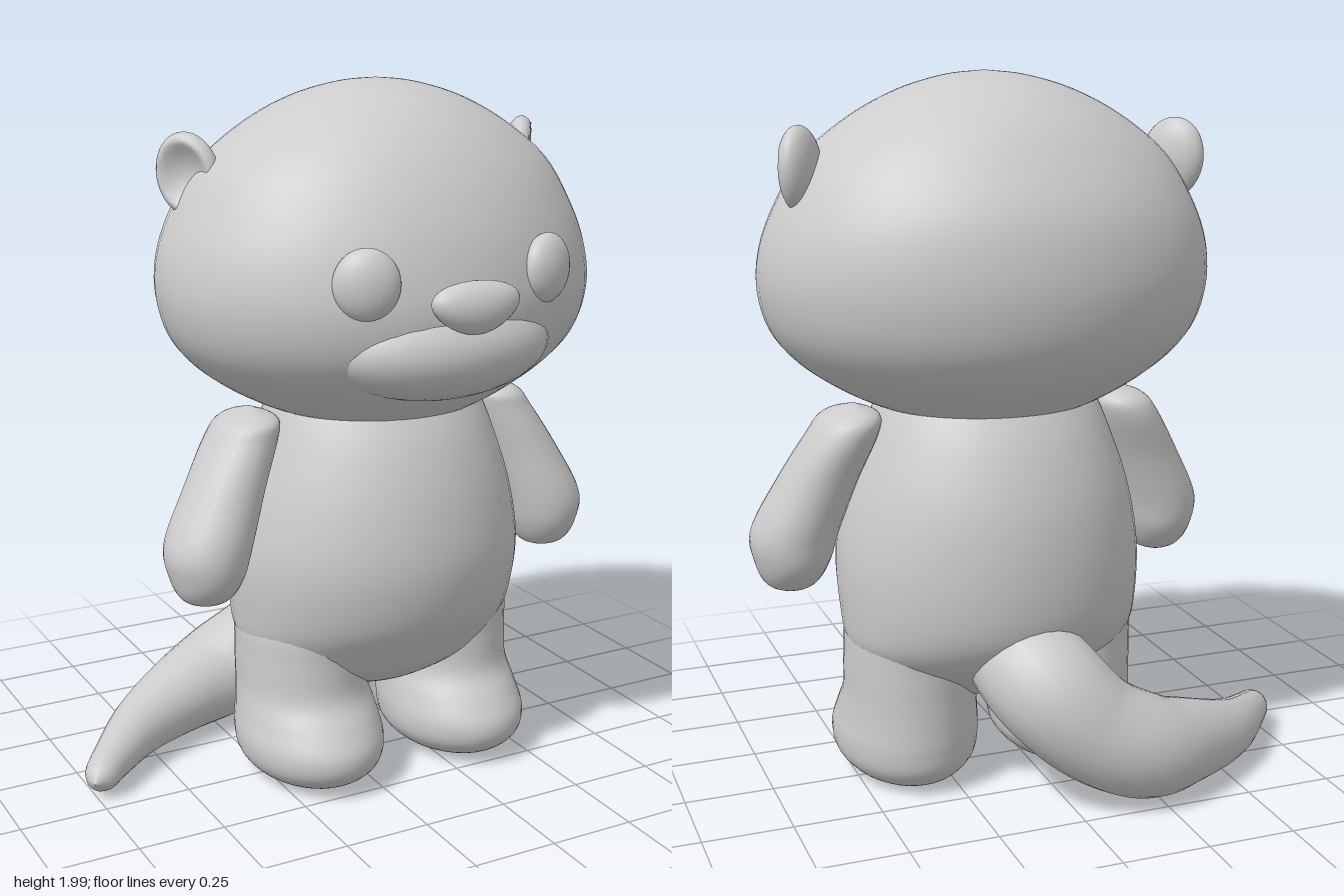
import * as THREE from 'three';
import { mergeVertices } from 'three/addons/utils/BufferGeometryUtils.js';

const clay = new THREE.MeshStandardMaterial({ color: 0xcccccc });
clay.name = 'clay grey';

// Weld seams and smooth the normals
function smooth(geo) {
  geo.deleteAttribute('uv');
  geo.deleteAttribute('normal');
  const welded = mergeVertices(geo, 1e-4);
  welded.computeVertexNormals();
  return welded;
}

// Stack of ellipses; each row is [y, centreX, radiusX, zFront, zBack], bottom to top
function loft(rows, side = 1, levels = 40, around = 40) {
  const a = new THREE.CatmullRomCurve3(rows.map(r => new THREE.Vector3(r[0], r[1] * side, r[2])), false, 'catmullrom', 0.5);
  const b = new THREE.CatmullRomCurve3(rows.map(r => new THREE.Vector3(r[3], r[4], 0)), false, 'catmullrom', 0.5);
  const pos = [], idx = [];
  for (let i = 0; i <= levels; i++) {
    const p = a.getPoint(i / levels), q = b.getPoint(i / levels);
    const rx = Math.max(p.z, 0.002), cz = (q.x + q.y) / 2, rz = Math.max((q.x - q.y) / 2, 0.002);
    for (let j = 0; j < around; j++) {
      const t = j / around * Math.PI * 2;
      pos.push(p.y + rx * Math.cos(t), p.x, cz + rz * Math.sin(t));
      if (i === levels) continue;
      const k = (j + 1) % around, o = i * around, n = o + around;
      idx.push(o + j, n + j, o + k, o + k, n + j, n + k);
    }
  }
  // End caps
  const top = levels * around;
  for (let j = 1; j < around - 1; j++) idx.push(0, j, j + 1, top, top + j + 1, top + j);
  const geo = new THREE.BufferGeometry();
  geo.setAttribute('position', new THREE.Float32BufferAttribute(pos, 3));
  geo.setIndex(idx);
  geo.computeVertexNormals();
  return geo;
}

function ellipsoid(rx, ry, rz) {
  return new THREE.SphereGeometry(1, 32, 20).scale(rx, ry, rz);
}

// Tapered tube: points are [x, y, z, radius], closed by a rounded tip
function taperedTube(points) {
  const curve = new THREE.CatmullRomCurve3(points.map(p => new THREE.Vector3(p[0], p[1], p[2])));
  const radii = new THREE.CatmullRomCurve3(points.map(p => new THREE.Vector3(p[3], 0, 0)), false, 'catmullrom', 0.5);
  const segs = 60, sides = 24;
  const geo = new THREE.TubeGeometry(curve, segs, 1, sides);
  const pos = geo.attributes.position, v = new THREE.Vector3();
  for (let i = 0; i <= segs; i++) {
    const u = i / segs, c = curve.getPointAt(u);
    const e = Math.max(0, (u - 0.95) / 0.05);
    const r = radii.getPoint(curve.getUtoTmapping(u)).x * Math.sqrt(Math.max(0.0004, 1 - e * e));
    for (let j = 0; j <= sides; j++) {
      const k = i * (sides + 1) + j;
      v.fromBufferAttribute(pos, k).sub(c).multiplyScalar(r).add(c);
      pos.setXYZ(k, v.x, v.y, v.z);
    }
  }
  return smooth(geo);
}

// Disc-like ear with a hollow pressed into its +z face
function earGeometry() {
  const geo = ellipsoid(0.095, 0.115, 0.05);
  const pos = geo.attributes.position;
  for (let i = 0; i < pos.count; i++) {
    const d = Math.hypot(pos.getX(i) / 0.095, pos.getY(i) / 0.115);
    if (pos.getZ(i) > 0) pos.setZ(i, pos.getZ(i) - 0.06 * Math.max(0, 1 - d * d * 1.6));
  }
  return smooth(geo);
}

export function createModel() {
  const model = new THREE.Group();
  const figure = new THREE.Group();
  figure.name = 'figure';
  figure.position.x = 0.11;
  model.add(figure);

  const add = (name, geo, x = 0, y = 0, z = 0) => {
    const mesh = new THREE.Mesh(geo, clay);
    mesh.name = name;
    mesh.position.set(x, y, z);
    figure.add(mesh);
    return mesh;
  };

  // Wide, slightly flattened head
  add('head', loft([
    [1.06, 0, 0.002, 0, 0], [1.08, 0, 0.2, 0.2, -0.22], [1.11, 0, 0.33, 0.28, -0.31],
    [1.2, 0, 0.49, 0.39, -0.42], [1.3, 0, 0.59, 0.47, -0.495], [1.42, 0, 0.63, 0.5, -0.528],
    [1.54, 0, 0.622, 0.487, -0.528], [1.66, 0, 0.575, 0.45, -0.5], [1.78, 0, 0.5, 0.385, -0.43],
    [1.88, 0, 0.375, 0.3, -0.345], [1.95, 0, 0.24, 0.2, -0.24], [1.988, 0, 0.11, 0.09, -0.12],
    [2, 0, 0.002, -0.01, -0.015],
  ], 1, 60, 56));
  add('muzzle', ellipsoid(0.33, 0.15, 0.2), 0, 1.325, 0.335);

  // Nose, wider along its top edge
  const nose = ellipsoid(0.125, 0.07, 0.055);
  const np = nose.attributes.position;
  for (let i = 0; i < np.count; i++) np.setX(i, np.getX(i) * (1 + np.getY(i) * 4));
  add('nose', smooth(nose), 0, 1.452, 0.52);

  // Belly and back
  add('body', loft([
    [0.24, 0, 0.002, 0.0, -0.02], [0.27, 0, 0.17, 0.11, -0.16], [0.34, 0, 0.33, 0.21, -0.25],
    [0.42, 0, 0.41, 0.27, -0.34], [0.52, 0, 0.43, 0.335, -0.395], [0.68, 0, 0.435, 0.37, -0.41],
    [0.85, 0, 0.405, 0.355, -0.395], [1.0, 0, 0.355, 0.315, -0.35], [1.1, 0, 0.315, 0.27, -0.3],
    [1.14, 0, 0.29, 0.24, -0.27],
  ], 1, 50, 48));

  for (const side of [-1, 1]) {
    const label = side > 0 ? 'left' : 'right';

    add(label + 'Eye', ellipsoid(0.088, 0.094, 0.05), side * 0.272, 1.52, 0.435).rotation.y = side * 0.4;

    const ear = add(label + 'Ear', earGeometry(), side * 0.53, 1.755, -0.085);
    ear.rotation.set(0, side * 0.95, -side * 0.25, 'YXZ');

    // Arm hanging outward, thicker at the paw
    add(label + 'Arm', loft([
      [0.582, 0.555, 0.01, 0.05, 0.02], [0.605, 0.558, 0.07, 0.11, -0.03], [0.67, 0.555, 0.105, 0.155, -0.08],
      [0.76, 0.545, 0.123, 0.165, -0.098], [0.9, 0.485, 0.112, 0.135, -0.115], [1.03, 0.42, 0.098, 0.105, -0.142],
      [1.085, 0.395, 0.078, 0.085, -0.125], [1.112, 0.385, 0.01, 0, -0.05],
    ], side, 36, 28));

    // Leg and rounded foot
    add(label + 'Leg', loft([
      [0.008, 0.24, 0.06, 0.12, -0.07], [0.025, 0.24, 0.14, 0.215, -0.165], [0.075, 0.24, 0.193, 0.285, -0.22],
      [0.14, 0.24, 0.206, 0.298, -0.235], [0.21, 0.238, 0.197, 0.258, -0.238], [0.28, 0.238, 0.187, 0.208, -0.24],
      [0.38, 0.238, 0.185, 0.2, -0.245], [0.5, 0.23, 0.18, 0.2, -0.25], [0.62, 0.2, 0.12, 0.14, -0.2],
    ], side, 40, 36));
  }

  // Tail sweeping back, then down and round to the right
  add('tail', taperedTube([
    [0.0, 0.44, -0.2, 0.15], [-0.05, 0.36, -0.36, 0.16], [-0.17, 0.24, -0.415, 0.152],
    [-0.32, 0.165, -0.42, 0.147], [-0.47, 0.135, -0.37, 0.122], [-0.64, 0.105, -0.28, 0.09],
    [-0.78, 0.083, -0.15, 0.062], [-0.875, 0.066, -0.045, 0.045],
  ]));

  return model;
}
